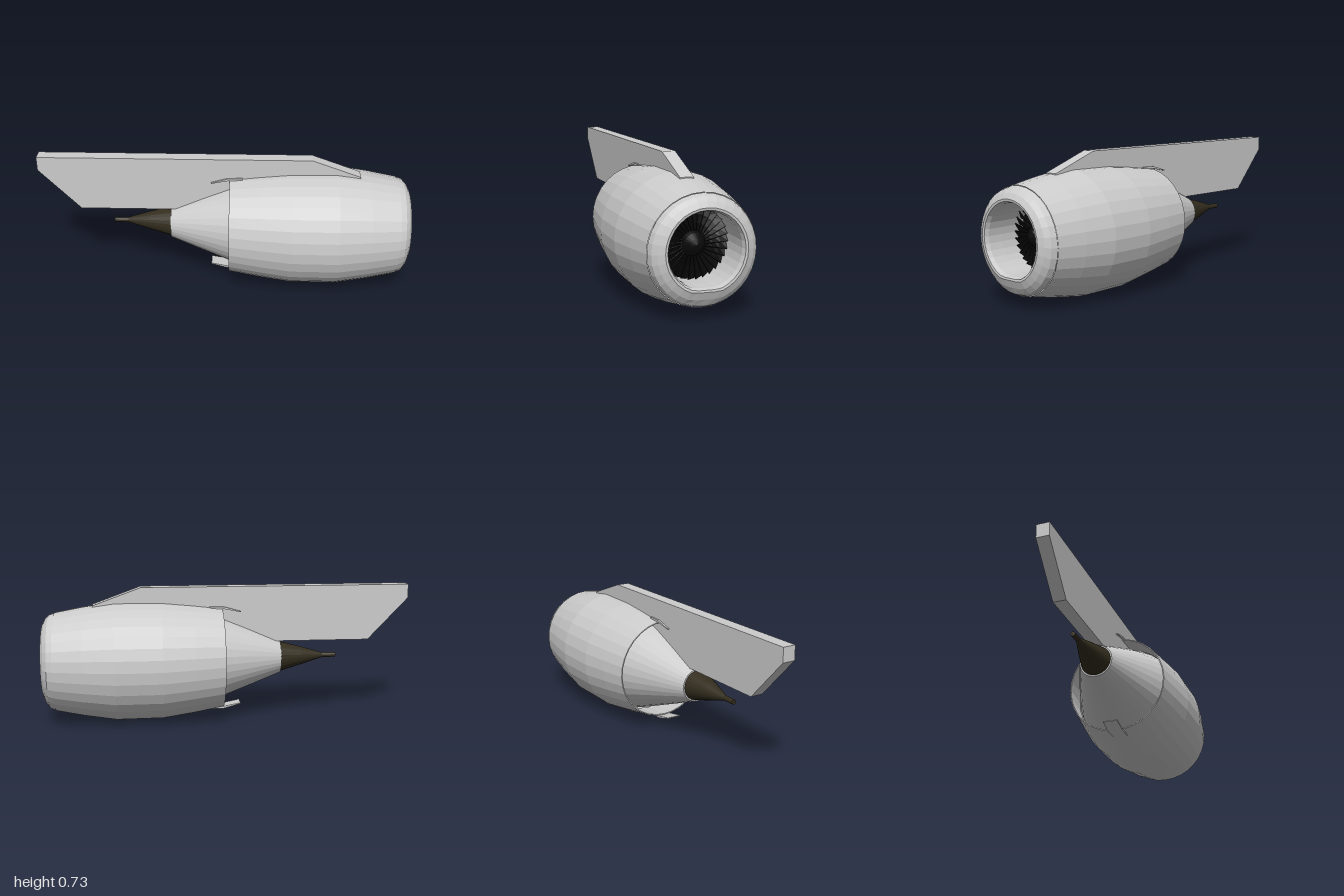
import * as THREE from 'three';

const grey = new THREE.MeshStandardMaterial({ color: 0xcccccc, flatShading: true, side: THREE.DoubleSide });
const brown = new THREE.MeshStandardMaterial({ color: 0x332d1e, flatShading: true, side: THREE.DoubleSide });
const black = new THREE.MeshStandardMaterial({ color: 0x0a0a0a, flatShading: true, side: THREE.DoubleSide });

// Skin over rings [x, centreY, radius, lowest offset below centre] along the x axis
function loft(rings, sides = 32) {
  const pos = [], index = [];
  for (const [x, cy, r, floor = 1] of rings) {
    for (let j = 0; j < sides; j++) {
      const a = (j / sides) * Math.PI * 2;
      pos.push(x, cy + Math.max(r * Math.cos(a), -floor), r * Math.sin(a));
    }
  }
  for (let i = 0; i < rings.length - 1; i++) {
    for (let j = 0; j < sides; j++) {
      const k = (j + 1) % sides;
      const a = i * sides + j, d = i * sides + k, b = a + sides, c = d + sides;
      index.push(a, d, c, a, c, b);
    }
  }
  const g = new THREE.BufferGeometry();
  g.setAttribute('position', new THREE.Float32BufferAttribute(pos, 3));
  g.setIndex(index);
  g.computeVertexNormals();
  return g;
}

// Side outline in x and y, given a thickness centred on z = 0
function slab(points, width) {
  const shape = new THREE.Shape(points.map(([x, y]) => new THREE.Vector2(x, y)));
  return new THREE.ExtrudeGeometry(shape, { depth: width, bevelEnabled: false }).translate(0, 0, -width / 2);
}

export function createModel() {
  const model = new THREE.Group();
  const add = (name, geometry, material = grey, parent = model) => {
    const mesh = new THREE.Mesh(geometry, material);
    mesh.name = name;
    parent.add(mesh);
    return mesh;
  };

  // Outer cowling
  add('nacelle', loft([
    [0.2, 0.333, 0.283], [0.03, 0.335, 0.27], [0.03, 0.335, 0.276], [0.19, 0.33, 0.3],
    [0.36, 0.325, 0.321], [0.61, 0.325, 0.323], [0.78, 0.326, 0.298], [0.935, 0.327, 0.268],
  ]));

  // Rounded lip and intake duct, flattened underneath
  add('intakeLip', loft([
    [0.935, 0.327, 0.266], [0.965, 0.328, 0.255], [0.985, 0.331, 0.232, 0.222],
    [1.0, 0.335, 0.2, 0.188], [0.998, 0.335, 0.188, 0.178], [0.975, 0.335, 0.18, 0.172],
    [0.9, 0.336, 0.18, 0.172], [0.74, 0.336, 0.185, 0.18],
  ]));

  // Fan: back disc, spinner and twisted blades
  const fan = new THREE.Group();
  fan.name = 'fan';
  fan.position.set(0.8, 0.338, 0);
  model.add(fan);
  add('fanDisc', loft([[-0.04, 0, 0.183], [-0.04, 0, 0]]), black, fan);
  add('spinner', loft([[-0.04, 0, 0.068], [0.01, 0, 0.066], [0.04, 0, 0.05], [0.065, 0, 0.028], [0.075, 0, 0]], 24), black, fan);
  const bladeCount = 30;
  const blade = new THREE.BoxGeometry(0.055, 0.12, 0.004, 1, 3, 1);
  const p = blade.attributes.position;
  for (let i = 0; i < p.count; i++) {
    const twist = 0.5 + (p.getY(i) + 0.06) * 4;
    const x = p.getX(i), z = p.getZ(i);
    p.setX(i, x * Math.cos(twist) + z * Math.sin(twist));
    p.setZ(i, z * Math.cos(twist) - x * Math.sin(twist));
  }
  blade.translate(0, 0.116, 0);
  for (let i = 0; i < bladeCount; i++) {
    add('fanBlade', blade, black, fan).rotation.x = (i / bladeCount) * Math.PI * 2;
  }

  // Tapering core cowl behind the nacelle
  add('coreCowl', loft([
    [-0.29, 0.332, 0], [-0.29, 0.332, 0.09], [-0.13, 0.335, 0.155], [0.03, 0.337, 0.218], [0.2, 0.335, 0.28],
  ]));

  // Exhaust plug with its thin tail tube
  add('exhaustPlug', loft([
    [-0.605, 0.335, 0], [-0.605, 0.335, 0.013], [-0.53, 0.335, 0.014], [-0.41, 0.334, 0.05], [-0.285, 0.332, 0.084],
  ], 24), brown);

  // Mounting pylon
  add('pylon', slab([
    [-1, 0.73], [-1, 0.655], [-0.78, 0.425], [-0.29, 0.425], [0.06, 0.425],
    [0.3, 0.6], [0.73, 0.62], [0.73, 0.635], [0.47, 0.73],
  ], 0.07));

  // Thin trailing tongues above and below the nacelle's rear edge
  const tongue = [[-0.07, 0.08], [-0.07, 0.075], [0.02, 0.05], [0.1, 0.048], [0.1, 0.06], [0.03, 0.06]];
  add('lowerTongue', slab(tongue, 0.08));
  add('upperTongue', slab(tongue.map(([x, y]) => [x, 0.67 - y]), 0.09));

  return model;
}
